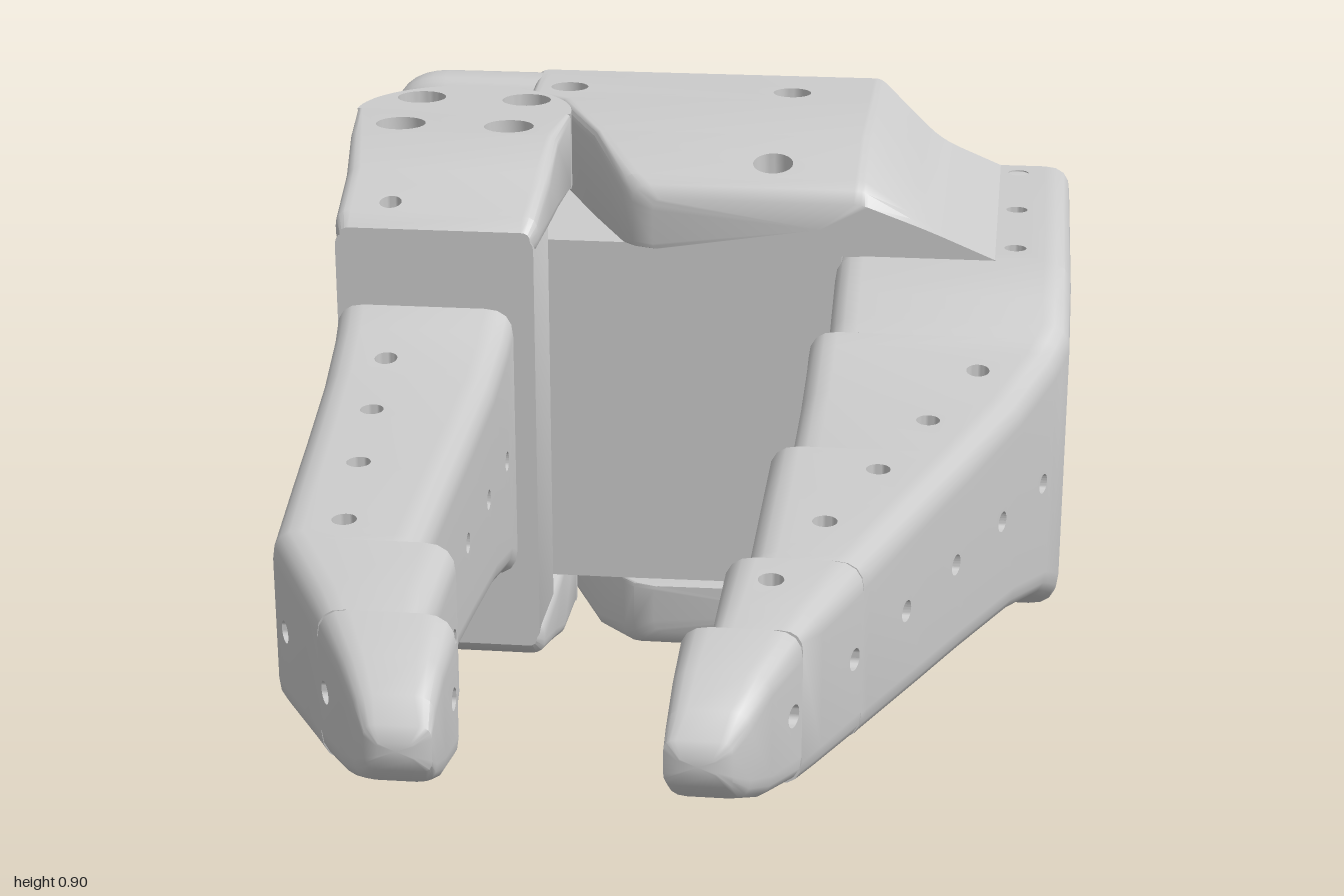
import * as THREE from 'three';
import { toCreasedNormals } from 'three/addons/utils/BufferGeometryUtils.js';

const mat = new THREE.MeshStandardMaterial({ color: 0xcccccc, side: THREE.DoubleSide });
const H = 0.4525; // half of the total height; parts are built around y = 0
const lerp = THREE.MathUtils.lerp;

function table(t, z) {
  let i = 0;
  while (i < t.length - 2 && z > t[i + 1][0]) i++;
  const [a, b] = [t[i], t[i + 1]];
  return lerp(a[1], b[1], THREE.MathUtils.clamp((z - a[0]) / (b[0] - a[0]), 0, 1));
}

function mesh(name, geo, creased = true) {
  const m = new THREE.Mesh(creased ? toCreasedNormals(geo, 0.6) : geo, mat);
  m.name = name;
  return m;
}

// Round the corners [x, y, r] of a section; five points per corner
function section(corners) {
  const pts = [], n = corners.length;
  corners.forEach(([x, y, r], i) => {
    const p = new THREE.Vector2(x, y);
    const toward = (c) => new THREE.Vector2(c[0], c[1]).sub(p).setLength(r).add(p);
    const curve = new THREE.QuadraticBezierCurve(toward(corners[(i + n - 1) % n]), p, toward(corners[(i + 1) % n]));
    pts.push(...curve.getPoints(4));
  });
  return pts;
}

// Loft sections along z. rows: [z, corners]. Flat panel k runs from corner k to k + 1.
// holes: { z, c, r, panels, depth }, c being x or y on the panel; two panels = through hole.
function loft(rows, holes = []) {
  const pos = [];
  const tri = (...v) => v.forEach((p) => pos.push(p[0], p[1], p[2]));
  const quad = (a, b, c, d) => tri(a, b, c, a, c, d);
  const rings = rows.map(([z, cs]) => section(cs).map((p) => [p.x, p.y, z]));
  const n = rings[0].length;
  for (let i = 0; i < rows.length - 1; i++) {
    const za = rows[i][0], zb = rows[i + 1][0];
    const here = holes.filter((h) => h.z > za && h.z < zb);
    const walls = new Map();
    for (let j = 0; j < n; j++) {
      const k = (j + 1) % n;
      const q = [rings[i][j], rings[i][k], rings[i + 1][k], rings[i + 1][j]];
      const cut = here.filter((h) => j % 5 === 4 && h.panels.includes((j - 4) / 5));
      if (!cut.length) { quad(...q); continue; }
      const ax = Math.abs(q[1][0] - q[0][0]) > Math.abs(q[1][1] - q[0][1]) ? 0 : 1;
      const onPanel = (z, c) => {
        const u = (z - za) / (zb - za);
        const a = lerp(q[0][ax], q[3][ax], u), b = lerp(q[1][ax], q[2][ax], u), v = (c - a) / (b - a);
        const o = lerp(lerp(q[0][1 - ax], q[3][1 - ax], u), lerp(q[1][1 - ax], q[2][1 - ax], u), v);
        return ax === 0 ? [c, o, z] : [o, c, z];
      };
      const flat = q.map((p) => new THREE.Vector2(p[2], p[ax]));
      const shape = new THREE.Shape(flat);
      for (const h of cut) {
        const circle = new THREE.Path().absarc(h.z, h.c, h.r, 0, Math.PI * 2, true);
        shape.holes.push(circle);
        const ring = circle.getPoints(12).map((p) => onPanel(p.x, p.y));
        if (h.depth) {
          const floor = ring.map((p) => p.map((v, e) => (e === 1 - ax ? v - Math.sign(v) * h.depth : v)));
          walls.set(h, [ring, floor]);
          for (let e = 1; e < floor.length - 1; e++) tri(floor[0], floor[e + 1], floor[e]);
        } else walls.set(h, [...(walls.get(h) || []), ring]);
      }
      const g = new THREE.ShapeGeometry(shape, 12), p = g.attributes.position, id = g.index.array;
      const flip = THREE.ShapeUtils.area(flat) < 0;
      for (let t = 0; t < id.length; t += 3) {
        const f = [id[t], id[t + 1], id[t + 2]].map((e) => onPanel(p.getX(e), p.getY(e)));
        tri(...(flip ? f.reverse() : f));
      }
    }
    for (const [a, b] of walls.values()) {
      if (b) for (let e = 0; e < a.length - 1; e++) quad(a[e], a[e + 1], b[e + 1], b[e]);
    }
  }
  // End caps
  [rings[0], rings[rings.length - 1]].forEach((ring, end) => {
    const c = [0, 1, 2].map((e) => ring.reduce((s, p) => s + p[e], 0) / n);
    ring.forEach((p, j) => (end ? tri(c, p, ring[(j + 1) % n]) : tri(c, ring[(j + 1) % n], p)));
  });
  const geo = new THREE.BufferGeometry();
  geo.setAttribute('position', new THREE.Float32BufferAttribute(pos, 3));
  return geo;
}

const box = (x0, x1, y0, y1, r) => [[x0, y0, r], [x1, y0, r], [x1, y1, r], [x0, y1, r]];
const toShape = (pts) => new THREE.Shape(pts.map((p) => new THREE.Vector2(...p)));
const circlePath = (x, y, r) => new THREE.Path().absarc(x, y, r, 0, Math.PI * 2, true);

// Vertical prism from a plan shape drawn in (x, -z)
function prism(shape, y0, y1) {
  return new THREE.ExtrudeGeometry(shape, { depth: y1 - y0, bevelEnabled: false, curveSegments: 20 })
    .rotateX(-Math.PI / 2).translate(0, y0, 0);
}

// Tapered finger: stepped gripping side, sloped outer side
const halfHeight = [[-0.28, 0.3], [-0.2, 0.262], [-0.1, 0.21], [0, 0.186], [0.1, 0.172], [0.5, 0.146], [0.7, 0.128],
  [0.81, 0.112], [0.9, 0.09], [0.96, 0.062], [0.99, 0.032], [1, 0.012]];
function finger(zones, outer, holes) {
  const rows = [];
  for (const [inner, zs] of zones) {
    for (const z of zs) {
      const o = table(outer, z), h = table(halfHeight, z), i = z === 1 ? lerp(inner, o, 0.3) : inner;
      const r = Math.min(0.045, Math.abs(o - i) * 0.25, h * 0.5);
      rows.push([z, box(Math.min(i, o), Math.max(i, o), -h, h, r)]);
    }
  }
  return loft(rows, holes);
}
const vertical = (list) => list.map(([c, z]) => ({ z, c, r: 0.018, panels: [0, 2] }));
const sideways = (zs) => zs.map((z) => ({ z, c: 0, r: 0.016, panels: [1, 3] }));
const tipZones = (a, b) => [[a, [0.62, 0.75, 0.81]], [b, [0.81, 0.9, 0.96, 0.99, 1]]];

export function createModel() {
  const root = new THREE.Group();
  root.name = 'gripper';
  const model = new THREE.Group();
  model.name = 'gripperParts';
  model.position.y = H;
  root.add(model);
  const add = (...args) => { const m = mesh(...args); model.add(m); return m; };
  const addPair = (name, geo) => {
    const m = add(name + 'Top', geo), b = m.clone();
    b.name = name + 'Bottom';
    b.scale.y = -1;
    model.add(b);
  };

  // Fixed finger with its mounting block
  const blockHoles = [];
  for (const z of [-0.36, -0.72]) for (const c of [0.237, -0.237]) blockHoles.push({ z, c, r: 0.016, panels: [1], depth: 0.1 });
  blockHoles.push({ z: -0.54, c: 0, r: 0.14, panels: [1], depth: 0.34 });
  add('fixedFinger', finger(
    [[0.23, [-0.87, -0.28, -0.2, -0.15, -0.12]], [0.2, [-0.12, -0.09, 0.05, 0.25]], [0.17, [0.25, 0.4, 0.6, 0.62]], ...tipZones(0.14, 0.1)],
    [[-0.87, 0.612], [-0.15, 0.612], [0.96, 0.21], [0.99, 0.19], [1, 0.17]],
    [...vertical([[0.52, -0.82], [0.52, -0.58], [0.52, -0.35], [0.47, -0.03], [0.4, 0.14], [0.335, 0.32], [0.27, 0.5], [0.21, 0.68]]),
      ...sideways([-0.24, -0.06, 0.11, 0.29, 0.47, 0.645, 0.835]), ...blockHoles]));

  // Moving finger
  add('movingFinger', finger(
    [[-0.28, [-0.15, -0.09, 0.05, 0.25, 0.4, 0.6, 0.62]], ...tipZones(-0.235, -0.2)],
    [[-0.15, -0.57], [0.6, -0.5], [0.96, -0.31], [0.99, -0.29], [1, -0.27]],
    [...vertical([[-0.46, 0], [-0.445, 0.18], [-0.425, 0.37], [-0.405, 0.56]]),
      ...sideways([-0.06, 0.11, 0.29, 0.47, 0.645, 0.835])]));
  add('movingFingerWall', loft([[-0.29, box(-0.578, -0.245, -0.35, 0.35, 0.02)], [-0.14, box(-0.568, -0.245, -0.35, 0.35, 0.02)]]));

  // Hinge arms: sloped plate, then a half-round hub
  const screw = (c, z) => ({ z, c, r: 0.042, panels: [2], depth: 0.07 });
  addPair('hingeArm', loft([
    [-0.55, box(-0.615, -0.245, 0.32, H, 0.008)], [-0.4, box(-0.595, -0.243, 0.32, H, 0.02)],
    [-0.29, box(-0.58, -0.24, 0.32, 0.418, 0.025)], [-0.16, box(-0.57, -0.24, 0.32, 0.382, 0.025)],
    [-0.14, box(-0.56, -0.25, 0.32, 0.36, 0.015)],
  ], [screw(-0.52, -0.455), screw(-0.335, -0.455), { z: -0.19, c: -0.485, r: 0.018, panels: [2], depth: 0.04 }]));
  const hub = new THREE.Shape().absarc(-0.43, 0.55, 0.185, 0, Math.PI, false);
  hub.holes.push(circlePath(-0.52, 0.64, 0.042), circlePath(-0.335, 0.64, 0.042));
  addPair('hingeHub', prism(hub, 0.32, H));
  addPair('servoHorn', new THREE.CylinderGeometry(0.165, 0.165, 0.1, 32).translate(-0.43, 0.335, -0.55));

  // Servo body
  add('servo', prism(toShape([[-0.615, 0.36], [-0.57, 0.31], [0.07, 0.31], [0.07, 0.78], [-0.57, 0.78], [-0.615, 0.72]]), -0.3, 0.3));

  // Housing: top and bottom slabs joined by a side wall
  const slab = (x0, t, r = 0.02) => [[x0, 0.3, 0.008], [0.5, 0.295, 0.008], [0.38, 0.345, 0.035], [0.27, t, 0.012], [x0, t, r]];
  const slabScrew = (c, z) => ({ z, c, r: 0.033, panels: [3], depth: 0.08 });
  addPair('housingSlab', loft([
    [-0.87, slab(-0.35, H)], [-0.7, slab(-0.34, H)], [-0.66, slab(-0.28, H)], [-0.45, slab(-0.19, H)],
    [-0.31, slab(-0.125, 0.418, 0.03)], [-0.29, slab(-0.105, 0.405, 0.03)], [-0.278, slab(-0.07, 0.385, 0.02)],
  ], [slabScrew(-0.275, -0.745), slabScrew(0.12, -0.745), slabScrew(0.12, -0.355)]));
  add('housingWall', new THREE.BoxGeometry(0.19, 0.62, 0.59).translate(0.145, 0, -0.575));

  // Back plate with rounded edges
  const s = new THREE.Shape(), top = H - 0.002;
  s.moveTo(-0.51, -top).lineTo(0.24, -top).quadraticCurveTo(0.27, -top, 0.29, -0.43).lineTo(0.36, -0.355)
    .quadraticCurveTo(0.41, -0.298, 0.5, -0.298).lineTo(0.54, -0.298).quadraticCurveTo(0.608, -0.298, 0.608, -0.23)
    .lineTo(0.608, 0.23).quadraticCurveTo(0.608, 0.298, 0.54, 0.298).lineTo(0.5, 0.298)
    .quadraticCurveTo(0.41, 0.298, 0.36, 0.355).lineTo(0.29, 0.43).quadraticCurveTo(0.27, top, 0.24, top).lineTo(-0.51, top)
    .quadraticCurveTo(-0.612, top, -0.612, top - 0.1).lineTo(-0.612, -top + 0.1).quadraticCurveTo(-0.612, -top, -0.51, -top);
  add('backPlate', new THREE.ExtrudeGeometry(s, {
    depth: 0.03, bevelThickness: 0.04, bevelSize: 0.04, bevelOffset: -0.04, bevelSegments: 5, curveSegments: 8,
  }).translate(0, 0, -0.85));

  // Wrist coupling on the back: drilled disc, raised lip and wedge tab
  const disc = new THREE.Shape();
  disc.absarc(-0.045, 0, 0.225, Math.PI * 0.35, Math.PI * 1.65, false);
  disc.lineTo(0.15, -0.08).lineTo(0.15, 0.08);
  disc.holes.push(circlePath(-0.045, 0, 0.05));
  for (let i = 0; i < 4; i++) {
    const a = (i + 0.5) * Math.PI / 2;
    disc.holes.push(circlePath(-0.045 + 0.125 * Math.cos(a), 0.125 * Math.sin(a), 0.03));
  }
  const flat = { bevelEnabled: false, curveSegments: 32 };
  add('wristDisc', new THREE.ExtrudeGeometry(disc, { depth: 0.09, ...flat }).translate(0, 0, -0.975));
  const lip = new THREE.Shape();
  lip.absarc(-0.045, 0, 0.225, Math.PI * 0.35, Math.PI * 1.65, false);
  lip.absarc(-0.045, 0, 0.195, Math.PI * 1.65, Math.PI * 0.35, true);
  add('wristLip', new THREE.ExtrudeGeometry(lip, { depth: 0.03, ...flat }).translate(0, 0, -1));
  add('wristTab', prism(toShape([[0.1, 0.88], [0.27, 0.88], [0.16, 0.985], [0.1, 0.985]]), -0.08, 0.08));

  return root;
}
